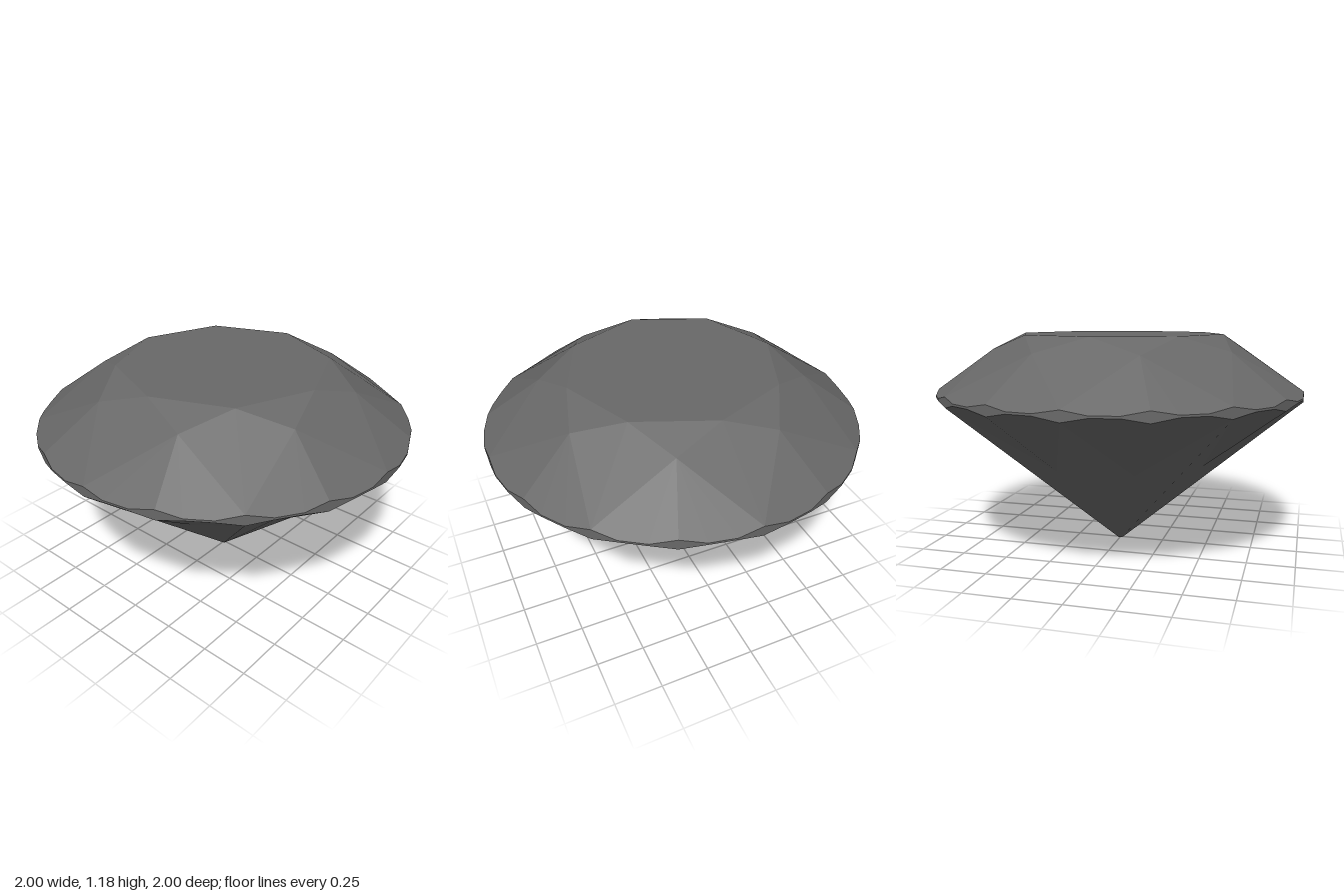
import * as THREE from 'three';

const STEP = Math.PI / 8; // one girdle facet
const CORNER = THREE.MathUtils.degToRad(7.3); // half width of a girdle flat

// point at radius r, height y, and an angle counted in girdle steps
const at = (r, y, a, extra = 0) => {
  const t = a * STEP + extra;
  return new THREE.Vector3(r * Math.sin(t), y, r * Math.cos(t));
};

const tableCorner = (k) => at(0.57, 1.178, 2 * k);
const starPoint = (k) => at(0.7, 1.097, 2 * k + 1);
const pavilionPoint = (k) => at(0.54, 0.49, 2 * k + 1);
const culetCorner = (k) => at(0.015, 0, 2 * k);

// scalloped girdle edge over one step: facet middle, two corners, next middle
const girdleEdge = (i, yMid, yCorner) => {
  const r = 1 / Math.cos(CORNER);
  return [
    at(1, yMid, i),
    at(r, yCorner, i, CORNER),
    at(r, yCorner, i + 1, -CORNER),
    at(1, yMid, i + 1),
  ];
};

// mesh from polygons turned outwards, each fanned and shaded as one flat facet
function facetMesh(name, polygons, material) {
  const center = new THREE.Vector3(0, 0.8, 0);
  const points = [], normals = [];
  for (const polygon of polygons) {
    const normal = new THREE.Vector3();
    polygon.forEach((p, i) => {
      const next = polygon[(i + 1) % polygon.length];
      normal.add(p.clone().sub(center).cross(next.clone().sub(center)));
    });
    normal.normalize();
    const outward = normal.dot(polygon[0].clone().sub(center)) > 0;
    if (!outward) normal.negate();
    for (let i = 1; i < polygon.length - 1; i++) {
      const [a, b, c] = [polygon[0], polygon[i], polygon[i + 1]];
      points.push(...(outward ? [a, b, c] : [a, c, b]));
      for (let j = 0; j < 3; j++) normals.push(...normal.toArray());
    }
  }
  const geometry = new THREE.BufferGeometry().setFromPoints(points);
  geometry.setAttribute('normal', new THREE.Float32BufferAttribute(normals, 3));
  const mesh = new THREE.Mesh(geometry, material);
  mesh.name = name;
  return mesh;
}

export function createModel() {
  const group = new THREE.Group();
  group.name = 'brilliantCutGem';
  const material = new THREE.MeshStandardMaterial({ color: 0x686868 });

  const table = [[]], culet = [[]];
  const stars = [], bezels = [], upperGirdle = [];
  const girdle = [], lowerGirdle = [], mains = [];

  for (let k = 0; k < 8; k++) {
    table[0].push(tableCorner(k));
    culet[0].push(culetCorner(k));
    stars.push([tableCorner(k), starPoint(k), tableCorner(k + 1)]);
    mains.push([culetCorner(k), pavilionPoint(k), culetCorner(k + 1)]);

    // kites from table and culet to the girdle
    bezels.push([tableCorner(k), starPoint(k - 1), at(1, 0.882, 2 * k), starPoint(k)]);
    mains.push([culetCorner(k), pavilionPoint(k - 1), at(1, 0.826, 2 * k), pavilionPoint(k)]);

    // two girdle facets above and below, with the wall between them
    for (const i of [2 * k, 2 * k + 1]) {
      const up = girdleEdge(i, 0.882, 0.861);
      const low = girdleEdge(i, 0.826, 0.85);
      upperGirdle.push([starPoint(k), ...up]);
      lowerGirdle.push([pavilionPoint(k), ...low]);
      for (let j = 0; j < 3; j++) girdle.push([up[j], up[j + 1], low[j + 1], low[j]]);
    }
  }

  const parts = {
    table, starFacets: stars, bezelFacets: bezels, upperGirdleFacets: upperGirdle,
    girdle, lowerGirdleFacets: lowerGirdle, pavilionFacets: mains, culet,
  };
  for (const [name, polygons] of Object.entries(parts)) {
    group.add(facetMesh(name, polygons, material));
  }
  return group;
}
